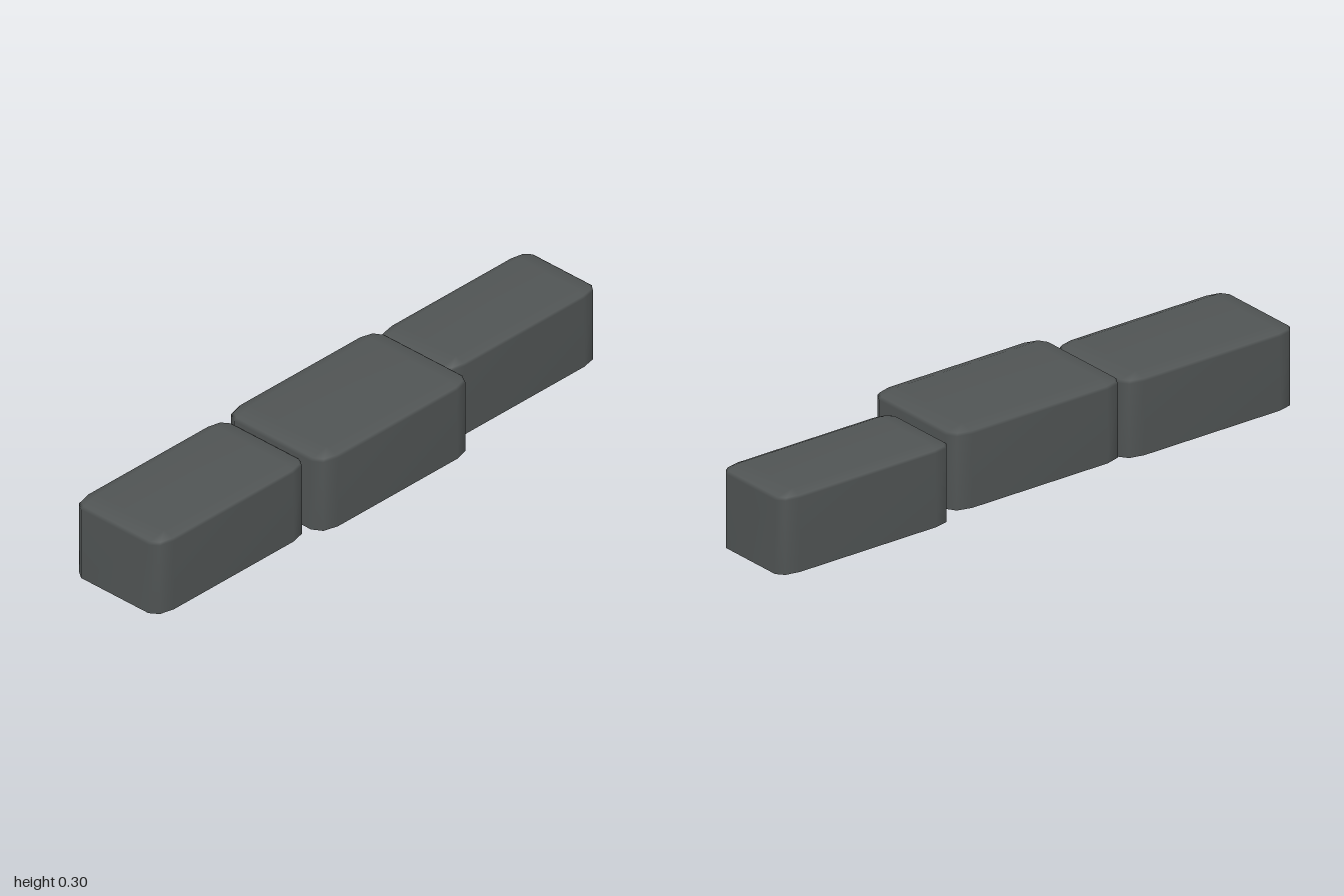
import * as THREE from 'three';
import { mergeVertices } from 'three/addons/utils/BufferGeometryUtils.js';

const material = new THREE.MeshStandardMaterial({ color: 0x505454, side: THREE.DoubleSide });

// Hollow cover, open underneath: walls with rounded corners and a softly bevelled top.
function coverGeometry(w, h, l) {
  const rx = w * 0.112, rz = 0.07, ry = 0.022;
  // each level: [how far the corner swells out, y]
  const levels = [[1, 0], [1, h - ry], [0.86, h - ry * 0.65], [0, h]];
  const corners = [[1, 1], [-1, 1], [-1, -1], [1, -1]];
  const steps = 2, n = corners.length * (steps + 1);
  const pos = [], index = [];

  for (const [out, y] of levels) {
    corners.forEach(([sx, sz], c) => {
      for (let s = 0; s <= steps; s++) {
        const a = (c + s / steps) * Math.PI / 2;
        pos.push(sx * (w / 2 - rx) + Math.cos(a) * rx * out, y,
          sz * (l / 2 - rz) + Math.sin(a) * rz * out);
      }
    });
  }
  // walls and bevel
  const top = levels.length - 1;
  for (let k = 0; k < top; k++) {
    for (let i = 0; i < n; i++) {
      const a = k * n + i, b = k * n + (i + 1) % n;
      index.push(a, a + n, b);
      // the top ring closes to one point per corner, so skip its empty triangles
      if (k < top - 1 || i % (steps + 1) === steps) index.push(b, a + n, b + n);
    }
  }
  // flat top
  const [p, q, r, s] = corners.map((_, c) => top * n + c * (steps + 1));
  index.push(p, s, r, p, r, q);

  const geometry = new THREE.BufferGeometry();
  geometry.setAttribute('position', new THREE.Float32BufferAttribute(pos, 3));
  geometry.setIndex(index);
  const smooth = mergeVertices(geometry, 1e-5);
  smooth.computeVertexNormals();
  return smooth;
}

export function createModel() {
  const group = new THREE.Group();
  group.name = 'coverRow';
  const left = -0.209, height = 0.27, length = 0.665;
  // name, width, base height, centre z; all covers share one flush side
  const covers = [
    ['frontCover', 0.366, 0.012, 0.667],
    ['middleCover', 0.418, 0.025, 0],
    ['backCover', 0.313, 0, -0.667],
  ];
  for (const [name, width, y, z] of covers) {
    const mesh = new THREE.Mesh(coverGeometry(width, height, length), material);
    mesh.name = name;
    mesh.position.set(left + width / 2, y, z);
    group.add(mesh);
  }
  return group;
}
